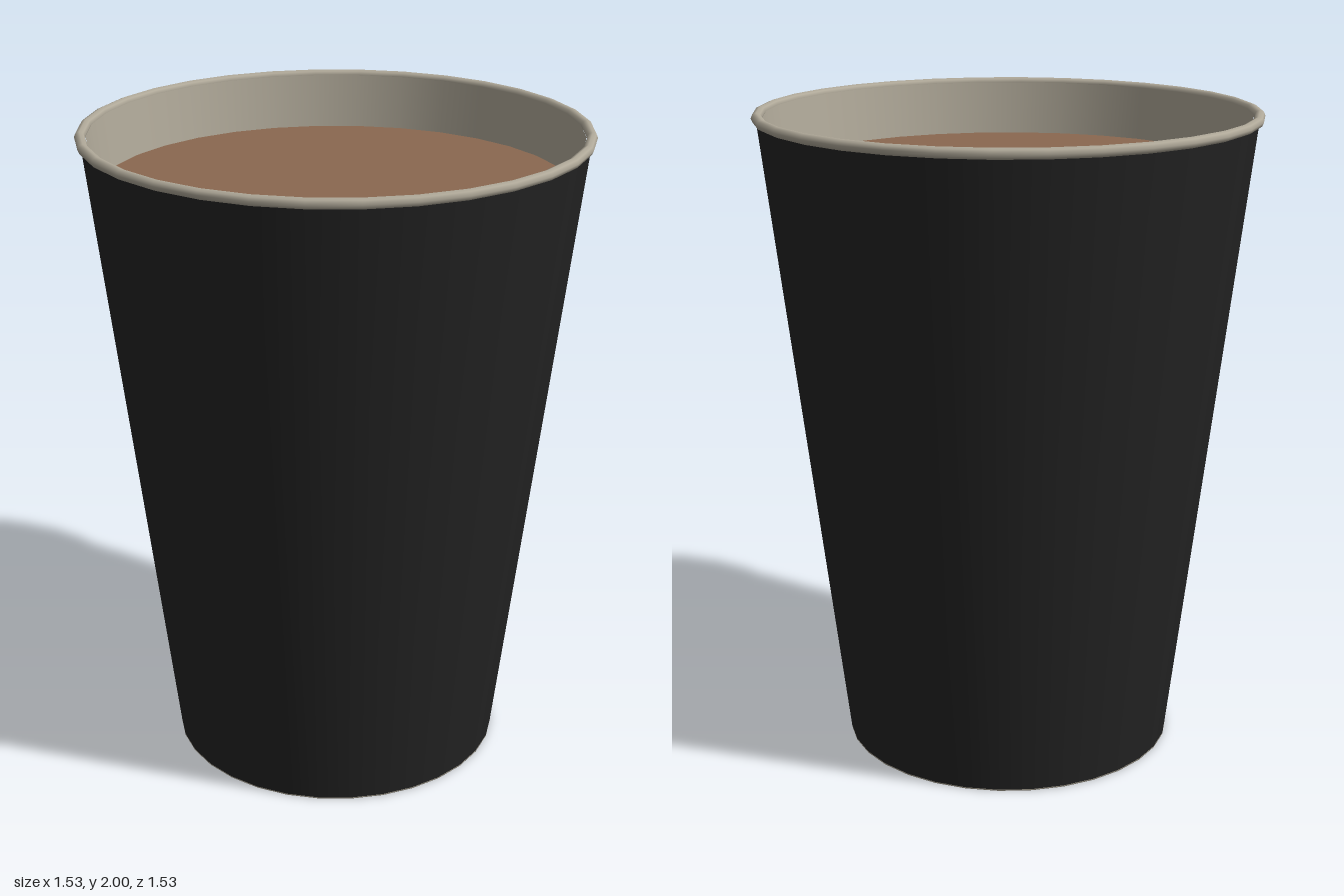
import * as THREE from 'three';

const SIDES = 32;
const BASE_Y = 0.07;     // recessed floor height
const LIQUID_Y = 1.82;
const TOP_Y = 1.985;
const WALL = 0.02;

// Outer wall radius at a given height
const outerRadius = (y) => 0.515 + 0.119 * y;
const innerRadius = (y) => outerRadius(y) - WALL;

export function createModel() {
  const sleeveBlack = new THREE.MeshStandardMaterial({ name: 'sleeve black', color: 0x232323 });
  const paperGrey = new THREE.MeshStandardMaterial({ name: 'paper grey', color: 0xb0a999 });
  const drinkBrown = new THREE.MeshStandardMaterial({ name: 'drink brown', color: 0x8a6850 });

  const cup = new THREE.Group();
  cup.name = 'paperCup';

  const add = (name, geometry, material) => {
    const mesh = new THREE.Mesh(geometry, material);
    mesh.name = name;
    cup.add(mesh);
    return mesh;
  };
  // Surface of revolution; rising points face outward, falling points face inward
  const lathe = (...points) =>
    new THREE.LatheGeometry(points.map(([r, y]) => new THREE.Vector2(r, y)), SIDES);
  // Horizontal disc with corners lined up with the lathes
  const disc = (radius, y, facing) =>
    new THREE.CircleGeometry(radius, SIDES).rotateX(-facing * Math.PI / 2).translate(0, y, 0);

  // Tapered outer wall and the inside of the foot below the floor
  const footRadius = (y) => outerRadius(y) - 0.006;
  add('outerWall', lathe([outerRadius(0), 0.004], [outerRadius(TOP_Y), TOP_Y]), sleeveBlack);
  add('footInside', lathe([footRadius(BASE_Y), BASE_Y], [footRadius(0), 0]), sleeveBlack);

  // Thin paper edge the cup stands on
  add('footEdge', lathe([footRadius(0), 0], [outerRadius(0), 0], [outerRadius(0), 0.004]), paperGrey);

  // Recessed floor, seen from below and from inside
  add('floorUnderside', disc(footRadius(BASE_Y), BASE_Y, -1), paperGrey);
  add('floorInside', disc(innerRadius(BASE_Y + WALL), BASE_Y + WALL, 1), paperGrey);

  // Inner wall
  add('innerWall', lathe(
    [innerRadius(TOP_Y), TOP_Y],
    [innerRadius(BASE_Y + WALL), BASE_Y + WALL],
  ), paperGrey);

  // Rolled rim
  const rim = add('rim', new THREE.TorusGeometry(0.749, 0.016, 8, SIDES), paperGrey);
  rim.rotation.x = Math.PI / 2;
  rim.position.y = 1.984;

  // Drink surface
  add('drink', disc(innerRadius(LIQUID_Y), LIQUID_Y, 1), drinkBrown);

  return cup;
}
